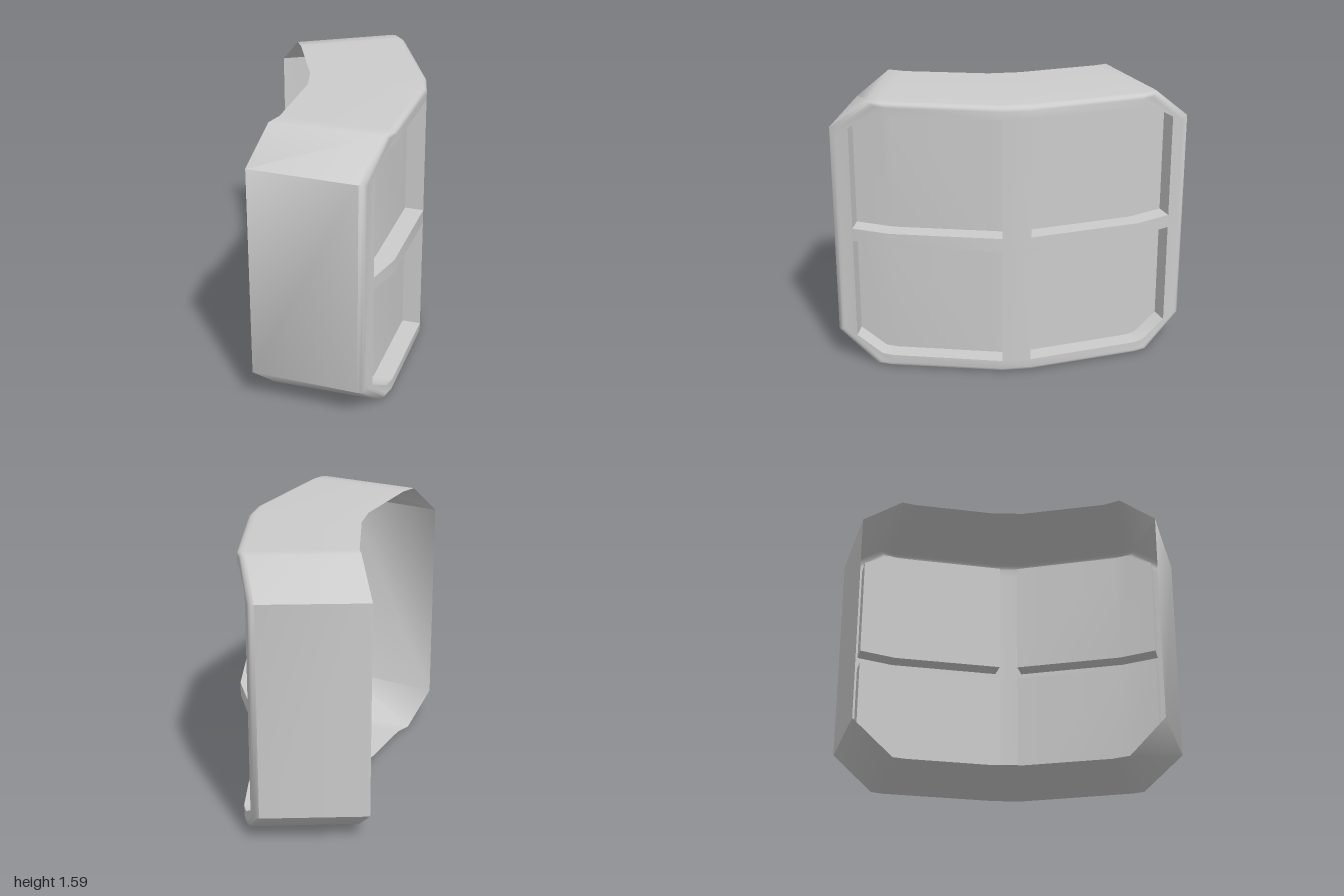
import * as THREE from 'three';
import { toCreasedNormals } from 'three/addons/utils/BufferGeometryUtils.js';

const MID = 0.7925, HALF = 0.7925, INSET = 0.035, ROUND = 0.045, DEPTH = 0.108;

// Bent front face: x for each z
const FRONT = [[-0.965, 0.21], [-0.7, 0.34], [-0.07, 0.46], [0.09, 0.46], [0.7, 0.3], [0.965, 0.16]];
function frontX(z) {
  let i = 0;
  while (i < FRONT.length - 2 && z > FRONT[i + 1][0]) i++;
  const [z0, x0] = FRONT[i], [z1, x1] = FRONT[i + 1];
  return x0 + (x1 - x0) * (z - z0) / (z1 - z0);
}

// Upper half of the rim: front z, half height, then z and x of the open back edge
const RIM = [
  [0.965, 0.59, 0.825, -0.465], [0.762, 0.765, 0.64, -0.36], [0.7, 0.765, 0.55, -0.31],
  [0.09, 0.765, 0.08, -0.195], [-0.07, 0.765, -0.1, -0.195],
  [-0.7, 0.765, -0.56, -0.28], [-0.762, 0.765, -0.63, -0.305], [-0.965, 0.59, -0.845, -0.41],
];
const LOOP = [...RIM, ...RIM.map(([z, h, bz, bx]) => [z, -h, bz, bx]).reverse()];

function finish(positions, name, material) {
  const g = new THREE.BufferGeometry();
  g.setAttribute('position', new THREE.Float32BufferAttribute(positions, 3));
  const mesh = new THREE.Mesh(toCreasedNormals(g, 0.9), material);
  mesh.name = name;
  return mesh;
}

// Fill a polygon given as [z, y] points, facing +x, placed by a mapping
function fill(out, points, place) {
  const flat = points.map(([z, y]) => new THREE.Vector2(z, y));
  for (const [a, b, c] of THREE.ShapeUtils.triangulateShape(flat.slice(), [])) {
    const A = flat[a], B = flat[b], C = flat[c];
    const turn = (B.x - A.x) * (C.y - A.y) - (B.y - A.y) * (C.x - A.x);
    for (const i of turn < 0 ? [a, b, c] : [a, c, b]) out.push(...place(points[i]));
  }
}

function quad(out, a, b, c, d) {
  out.push(...a, ...b, ...c, ...a, ...c, ...d);
}

const onFront = ([z, y]) => [frontX(z), y, z];

export function createModel() {
  const group = new THREE.Group();
  const material = new THREE.MeshStandardMaterial({ color: 0xcccccc, side: THREE.DoubleSide });

  // Side walls from the open back, then the rounded front edge
  const shell = [];
  const rings = [LOOP.map(([, h, bz, bx]) => [bx, MID + h * HALF / 0.765, bz])];
  const steps = 4;
  for (let k = 0; k <= steps; k++) {
    const t = (k / steps) * Math.PI / 2;
    const s = (1 - INSET * (1 - Math.cos(t))) / (1 - INSET);
    rings.push(LOOP.map(([z, h]) => [
      frontX(z) - ROUND * (1 - Math.sin(t)), MID + h * s, z * s]));
  }
  for (let r = 0; r < rings.length - 1; r++) {
    const p = rings[r], q = rings[r + 1];
    for (let i = 0; i < LOOP.length; i++) {
      const j = (i + 1) % LOOP.length;
      quad(shell, p[i], q[i], q[j], p[j]);
    }
  }

  // Front frame: centre post, horizontal bars and C-shaped ends
  const top = MID + 0.765, bottom = MID - 0.765;
  const rows = [0.075, 0.75, 0.83, 1.51];
  const rect = (z0, z1, y0, y1) => [[z0, y0], [z1, y0], [z1, y1], [z0, y1]];
  const bars = [[bottom, rows[0]], [rows[1], rows[2]], [rows[3], top]];
  const post = [bottom, ...rows, top];
  for (let i = 0; i < 5; i++) fill(shell, rect(-0.07, 0.09, post[i], post[i + 1]), onFront);
  for (const s of [1, -1]) {
    const inner = s > 0 ? 0.09 : -0.07;
    for (const [y0, y1] of bars) fill(shell, rect(inner, 0.7 * s, y0, y1), onFront);
    const half = [[0.7, rows[3]], [0.7, top], [0.762, top], [0.965, MID + 0.59]];
    const hole = [[0.9, rows[2]], [0.9, 1.42], [0.76, rows[3]]];
    const flip = (pts) => pts.map(([z, y]) => [z, 2 * MID - y]).reverse();
    const end = [...half, ...flip(half), ...flip(hole), [0.7, 2 * MID - rows[2]],
      [0.7, rows[2]], ...hole];
    fill(shell, end.map(([z, y]) => [z * s, y]), onFront);
  }
  group.add(finish(shell, 'shell', material));

  // Four recessed panes, sunk along the normal of each half of the face
  for (const s of [1, -1]) {
    const inner = s > 0 ? 0.09 : -0.07;
    const angle = s > 0 ? 0.27 : 0.23;
    const sunk = ([z, y]) => [
      frontX(z) - DEPTH * Math.cos(angle), y, z - s * DEPTH * Math.sin(angle)];
    for (const upper of [true, false]) {
      const at = (z, y) => [z, upper ? y : 2 * MID - y];
      const b = rows[2], t = rows[3];
      const endPart = [at(0.7 * s, b), at(0.9 * s, b), at(0.9 * s, 1.42), at(0.76 * s, t), at(0.7 * s, t)];
      const outline = [at(inner, b), ...endPart, at(inner, t)];
      const pane = [], walls = [];
      fill(pane, [at(inner, b), endPart[0], endPart[4], at(inner, t)], sunk);
      fill(pane, endPart, sunk);
      // Walls wind so that they face into the recess
      const path = (s > 0) === upper ? outline : outline.slice().reverse();
      path.forEach((p, i) => {
        const q = path[(i + 1) % path.length];
        quad(walls, onFront(p), sunk(p), sunk(q), onFront(q));
      });
      const window = new THREE.Group();
      window.name = `${upper ? 'upper' : 'lower'}${s > 0 ? 'Front' : 'Back'}Window`;
      window.add(finish(pane, 'pane', material), finish(walls, 'recessWalls', material));
      group.add(window);
    }
  }
  return group;
}
